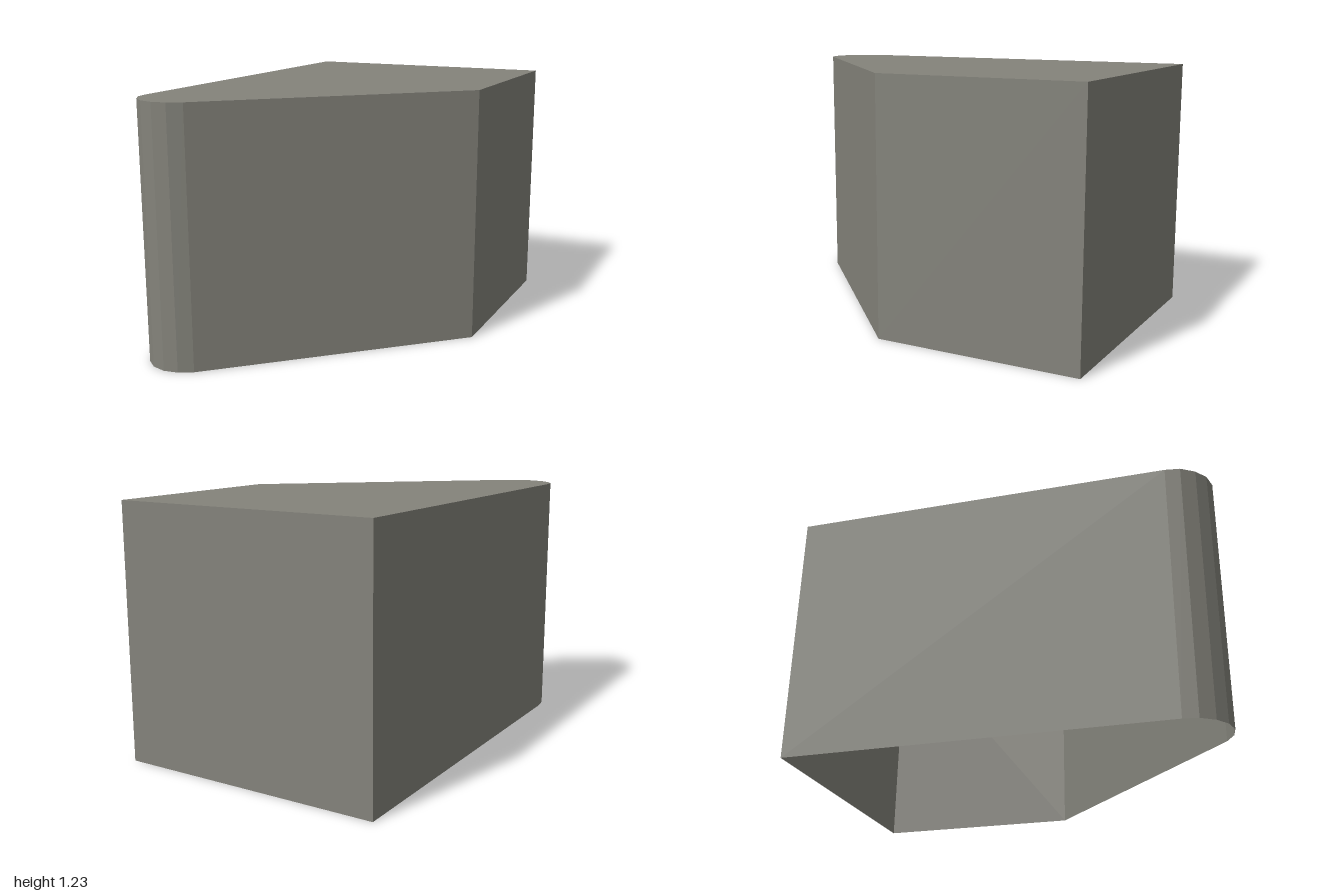
import * as THREE from 'three';

// Plan outline [x, z], from the back-left corner around the rounded nose
const OUTLINE = [
  [-0.655, -1], [-0.655, 0.8], [-0.645, 0.87], [-0.605, 0.935], [-0.55, 0.98],
  [-0.48, 1], [-0.41, 0.99], [-0.345, 0.955], [0.655, 0], [0.655, -1],
];
const HEIGHT = 1.23;

// One flat upright panel per outline edge
function wallGeometry() {
  const positions = [];
  OUTLINE.forEach(([ax, az], i) => {
    const [bx, bz] = OUTLINE[(i + 1) % OUTLINE.length];
    positions.push(ax, 0, az, bx, 0, bz, bx, HEIGHT, bz);
    positions.push(ax, 0, az, bx, HEIGHT, bz, ax, HEIGHT, az);
  });
  const geometry = new THREE.BufferGeometry();
  geometry.setAttribute('position', new THREE.Float32BufferAttribute(positions, 3));
  geometry.computeVertexNormals();
  return geometry;
}

export function createModel() {
  const group = new THREE.Group();
  group.name = 'openBottomBlock';

  const grey = new THREE.MeshStandardMaterial({ color: 0x84837b, side: THREE.DoubleSide });
  grey.name = 'warm grey';

  // Outer walls, hollow inside and open underneath
  const walls = new THREE.Mesh(wallGeometry(), grey);
  walls.name = 'walls';
  group.add(walls);

  // Flat lid closing the top
  const shape = new THREE.Shape(OUTLINE.map(([x, z]) => new THREE.Vector2(x, -z)));
  const lid = new THREE.Mesh(new THREE.ShapeGeometry(shape).rotateX(-Math.PI / 2), grey);
  lid.name = 'topLid';
  lid.position.y = HEIGHT;
  group.add(lid);

  return group;
}
